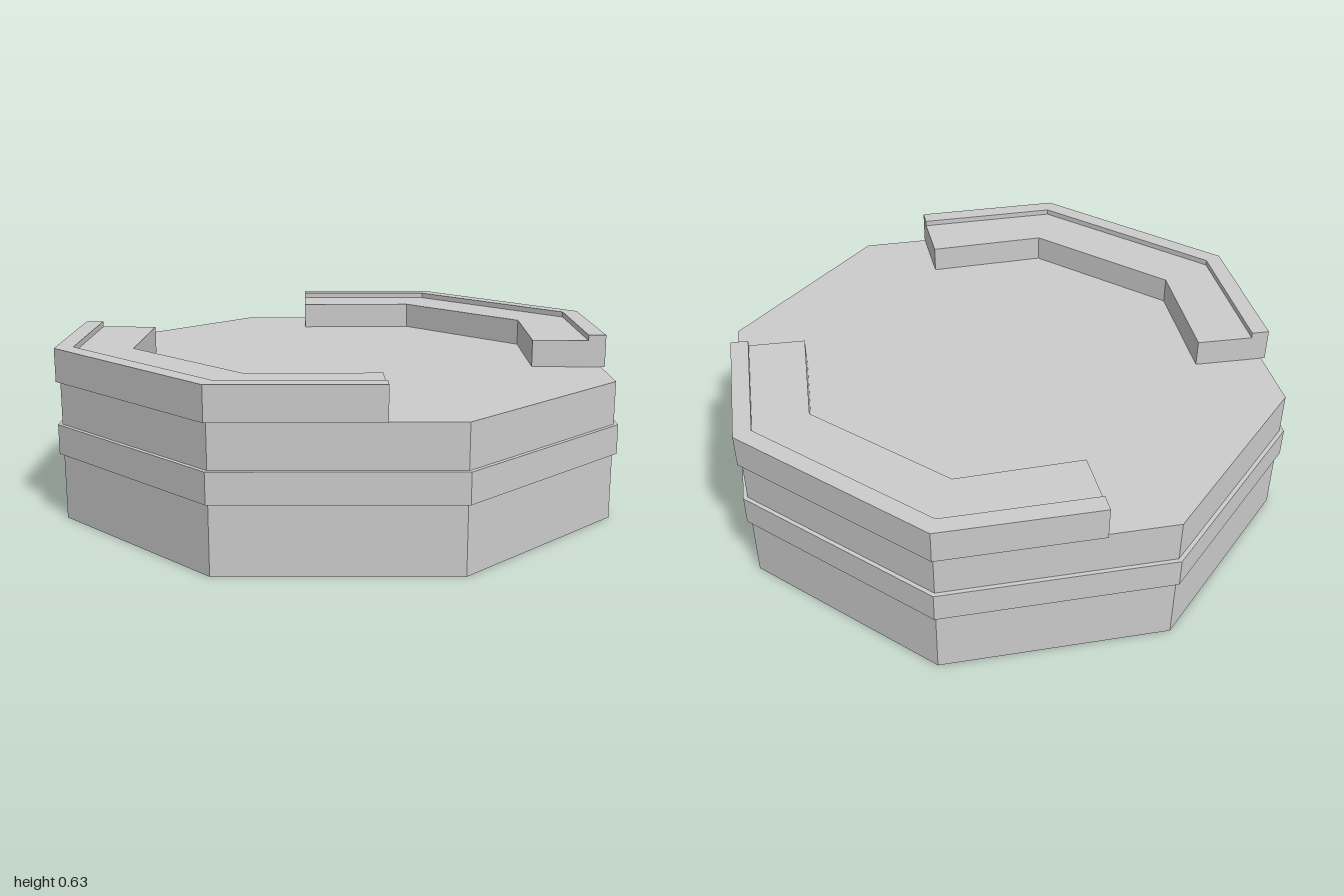
import * as THREE from 'three';

const material = new THREE.MeshStandardMaterial({ color: 0xcccccc, flatShading: true });

// Octagonal slab given by its apothem and its bottom and top heights
function octagon(name, apothem, y0, y1) {
  const r = apothem / Math.cos(Math.PI / 8);
  const geometry = new THREE.CylinderGeometry(r, r, y1 - y0, 8);
  geometry.rotateY(Math.PI / 8);
  geometry.translate(0, (y0 + y1) / 2, 0);
  const mesh = new THREE.Mesh(geometry, material);
  mesh.name = name;
  return mesh;
}

// Three-sided strip between two half outlines [corner, end], mirrored in x
function strip(name, outer, inner, y0, y1) {
  const mirror = ([x, y]) => [-x, y];
  const outline = [
    outer[1], outer[0], mirror(outer[0]), mirror(outer[1]),
    mirror(inner[1]), mirror(inner[0]), inner[0], inner[1],
  ];
  const shape = new THREE.Shape(outline.map(([x, y]) => new THREE.Vector2(x, y)));
  const geometry = new THREE.ExtrudeGeometry(shape, { depth: y1 - y0, bevelEnabled: false });
  geometry.rotateX(-Math.PI / 2);
  geometry.translate(0, y0, 0);
  const mesh = new THREE.Mesh(geometry, material);
  mesh.name = name;
  return mesh;
}

export function createModel() {
  const model = new THREE.Group();
  model.name = 'octagonalPlatform';

  // Platform body with a slightly projecting band
  model.add(octagon('body', 0.985, 0, 0.507));
  model.add(octagon('band', 1, 0.243, 0.351));

  // Stepped parapets at the back and front
  const rim = [[0.414, 1], [0.817, 0.597]];
  const step = [[0.388, 0.937], [0.77, 0.552]];
  const inside = [[0.306, 0.738], [0.618, 0.41]];
  ['backParapet', 'frontParapet'].forEach((name, i) => {
    const parapet = new THREE.Group();
    parapet.name = name;
    parapet.add(strip('lip', rim, step, 0.507, 0.628));
    parapet.add(strip('ledge', step, inside, 0.507, 0.607));
    parapet.rotation.y = i * Math.PI;
    model.add(parapet);
  });

  return model;
}
